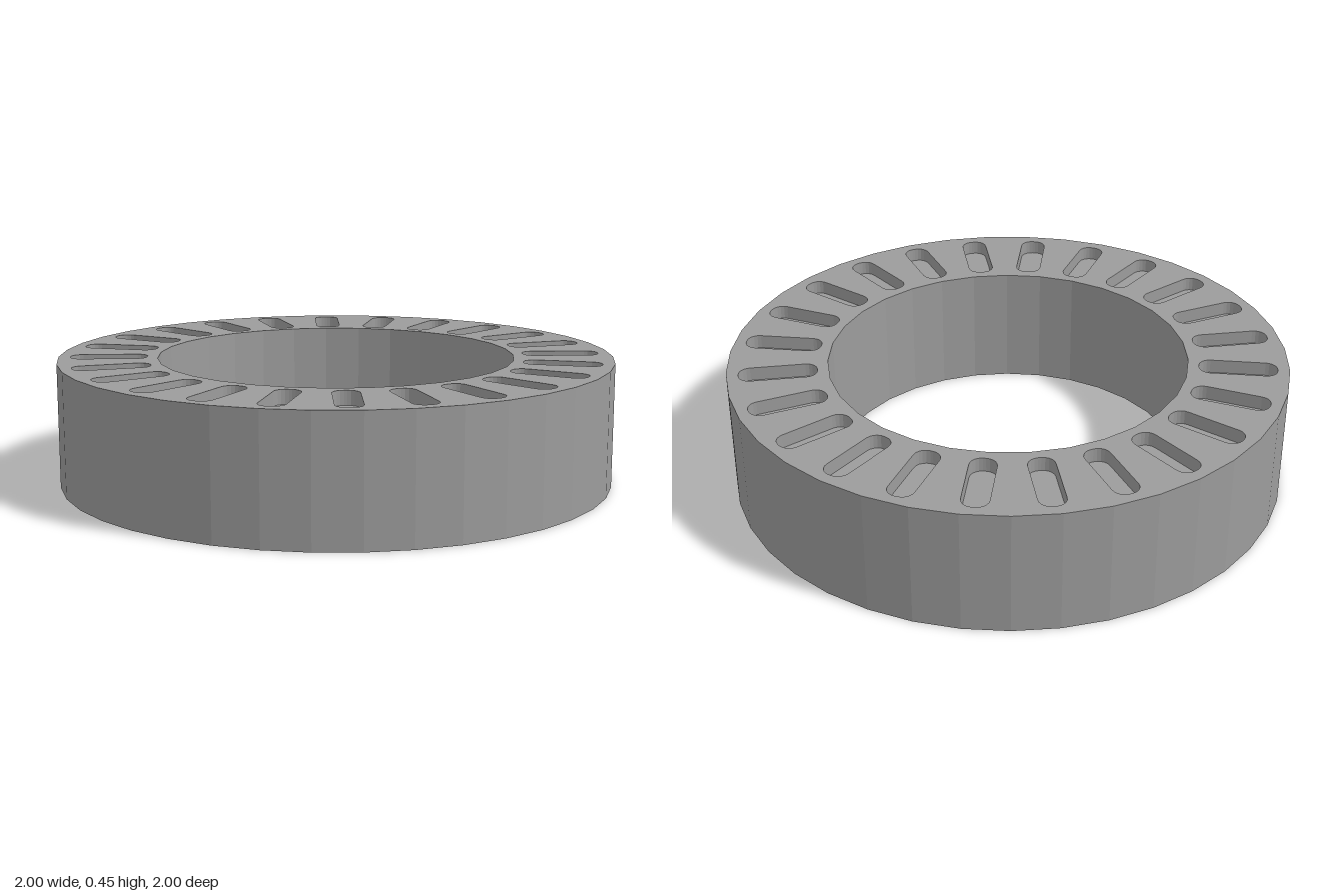
import * as THREE from 'three';

const HEIGHT = 0.446, SLOT_DEPTH = 0.05, SLOTS = 24;
const material = new THREE.MeshStandardMaterial({ color: 0x9c9c9c, flatShading: true });

// Outlines are lists of Vector2(x, z), counter-clockwise seen from above.
function polygon(radius, sides) {
  return Array.from({ length: sides }, (_, i) => {
    const a = (i / sides) * Math.PI * 2;
    return new THREE.Vector2(Math.sin(a) * radius, Math.cos(a) * radius);
  });
}

// Rounded slot running radially from r0 to r1, turned by the given angle.
function slotOutline(angle, r0 = 0.68, r1 = 0.957, half = 0.046, corner = 0.041, steps = 5) {
  const points = [];
  const centres = [[1, 1], [-1, 1], [-1, -1], [1, -1]];
  const mid = (r0 + r1) / 2, len = (r1 - r0) / 2;
  centres.forEach(([sx, sz], q) => {
    for (let i = 0; i <= steps; i++) {
      const a = (q + i / steps) * Math.PI / 2;
      // u runs along +x, v along -z
      const u = sx * (half - corner) + corner * Math.cos(a);
      const v = mid + sz * (len - corner) + corner * Math.sin(a);
      const c = Math.cos(angle), s = Math.sin(angle);
      points.push(new THREE.Vector2(u * c - v * s, -(u * s + v * c)));
    }
  });
  return points;
}

// Vertical wall along an outline, facing outward or inward.
function wall(outline, y0, y1, inward) {
  const loop = inward ? [...outline].reverse() : outline;
  const pos = [];
  loop.forEach((a, i) => {
    const b = loop[(i + 1) % loop.length];
    pos.push(a.x, y0, a.y, b.x, y0, b.y, b.x, y1, b.y);
    pos.push(a.x, y0, a.y, b.x, y1, b.y, a.x, y1, a.y);
  });
  const geo = new THREE.BufferGeometry();
  geo.setAttribute('position', new THREE.Float32BufferAttribute(pos, 3));
  geo.computeVertexNormals();
  return geo;
}

// Flat horizontal face with holes, facing up or down.
function cap(outline, holes, y, up = true) {
  const flip = (pts) => pts.map((p) => new THREE.Vector2(p.x, up ? -p.y : p.y));
  const shape = new THREE.Shape(flip(outline));
  shape.holes = holes.map((h) => new THREE.Path(flip(h)));
  return new THREE.ShapeGeometry(shape)
    .rotateX(up ? -Math.PI / 2 : Math.PI / 2)
    .translate(0, y, 0);
}

export function createModel() {
  const model = new THREE.Group();
  model.name = 'slottedRing';
  const add = (name, geometry, parent = model) => {
    const mesh = new THREE.Mesh(geometry, material);
    mesh.name = name;
    parent.add(mesh);
  };

  const outer = polygon(1, 39);
  const inner = polygon(0.643, 31);
  const slots = Array.from({ length: SLOTS }, (_, i) => slotOutline((i / SLOTS) * Math.PI * 2));

  // Ring body
  add('outerWall', wall(outer, 0, HEIGHT, false));
  add('innerWall', wall(inner, 0, HEIGHT, true));
  add('bottomFace', cap(outer, [inner], 0, false));
  add('topFace', cap(outer, [inner, ...slots], HEIGHT));

  // Shallow radial pockets in the top
  slots.forEach((slot, i) => {
    const pocket = new THREE.Group();
    pocket.name = `slot${i + 1}`;
    add('slotWall', wall(slot, HEIGHT - SLOT_DEPTH, HEIGHT, true), pocket);
    add('slotFloor', cap(slot, [], HEIGHT - SLOT_DEPTH), pocket);
    model.add(pocket);
  });

  // Odd-sided outline: centre it front to back
  model.position.z = -0.002;
  return model;
}
